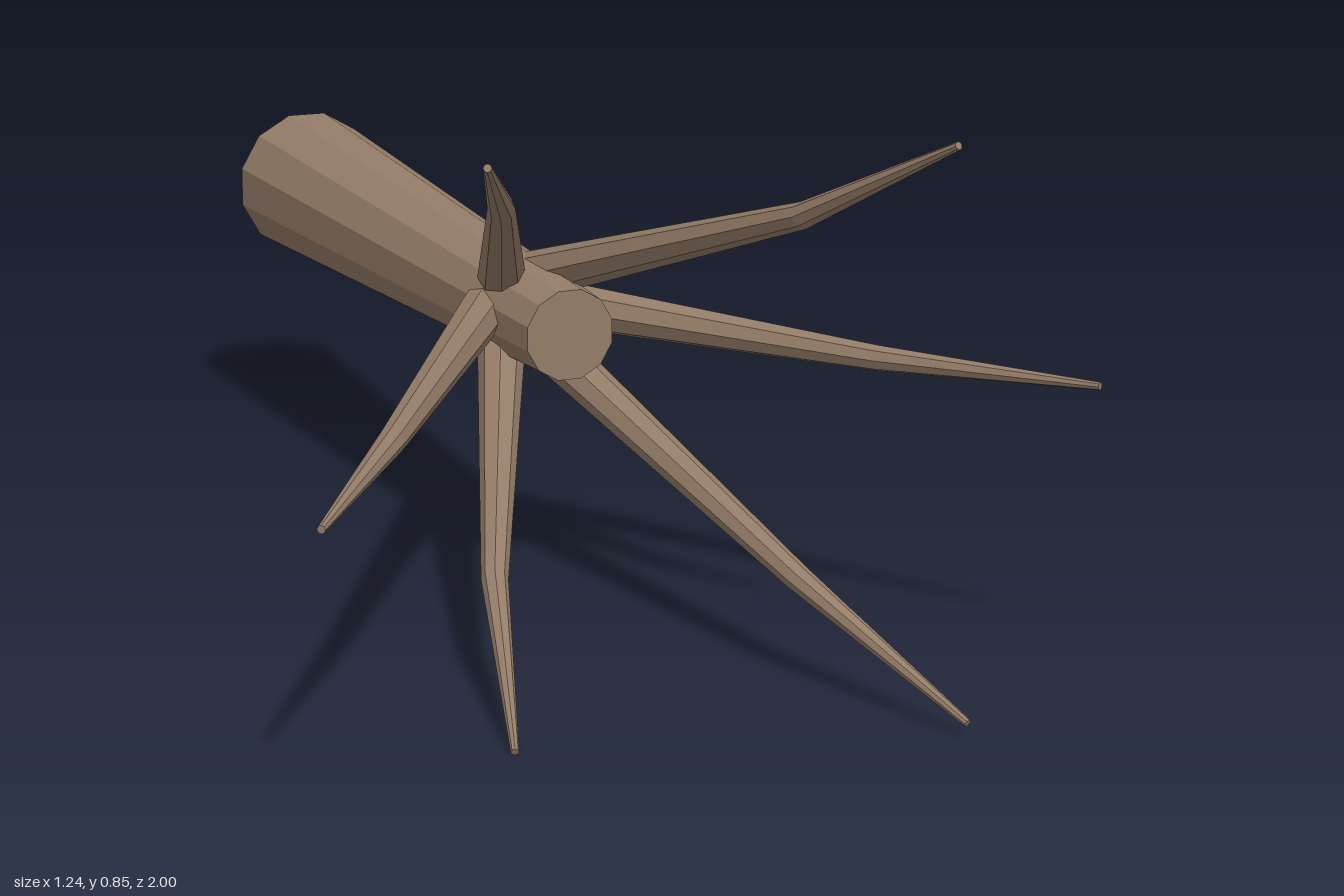
import * as THREE from 'three';

// Closed, tapered limb: one ring per path point, square to the path's direction
function limbGeometry(path, radii, sides, turn = 0) {
  const points = path.map(p => new THREE.Vector3(...p));
  const rings = points.map((p, i) => {
    const dir = points[Math.min(i + 1, points.length - 1)].clone()
      .sub(points[Math.max(i - 1, 0)]).normalize();
    const u = new THREE.Vector3(0, 1, 0).cross(dir).normalize();
    const v = dir.clone().cross(u);
    return Array.from({ length: sides }, (_, k) => {
      const a = (k + turn) / sides * Math.PI * 2;
      return p.clone().addScaledVector(u, Math.cos(a) * radii[i])
        .addScaledVector(v, Math.sin(a) * radii[i]);
    });
  });
  const corners = [];
  const last = rings.length - 1;
  for (let k = 0; k < sides; k++) {
    const n = (k + 1) % sides;
    for (let i = 0; i < last; i++) {
      const a = rings[i][k], b = rings[i][n], c = rings[i + 1][n], d = rings[i + 1][k];
      corners.push(a, b, c, a, c, d);
    }
    corners.push(points[0], rings[0][n], rings[0][k]);
    corners.push(points[last], rings[last][k], rings[last][n]);
  }
  const geometry = new THREE.BufferGeometry().setFromPoints(corners);
  geometry.computeVertexNormals();
  return geometry;
}

export function createModel() {
  const group = new THREE.Group();
  group.name = 'branchedTrunk';
  const bark = new THREE.MeshStandardMaterial({ color: 0x947c68, flatShading: true });
  bark.name = 'bark';

  const add = (name, geometry) => {
    const mesh = new THREE.Mesh(geometry, bark);
    mesh.name = name;
    group.add(mesh);
  };

  // Trunk lying along z, wide end at the back
  add('trunk', limbGeometry([[0, 0.43, -0.997], [0.03, 0.43, 0.24]], [0.131, 0.073], 12, 0.5));

  // Branches fanning forward: bend point and tip of each
  const branches = [
    ['leftBranch', [0.41, 0.43, 0.53], [0.612, 0.445, 0.837]],
    ['upperLeftBranch', [0.2, 0.70, 0.70], [0.285, 0.85, 0.997]],
    ['upperRightBranch', [-0.2, 0.71, 0.55], [-0.328, 0.833, 0.837]],
    ['rightBranch', [-0.41, 0.425, 0.68], [-0.615, 0.413, 0.997]],
    ['lowerRightBranch', [-0.21, 0.16, 0.55], [-0.288, 0.008, 0.837]],
    ['lowerLeftBranch', [0.205, 0.16, 0.70], [0.328, 0.025, 0.997]],
  ];
  branches.forEach(([name, bend, tip], i) => {
    const a = i * Math.PI / 3;
    const base = [0.025 + Math.cos(a) * 0.052, 0.43 + Math.sin(a) * 0.052, 0.025];
    add(name, limbGeometry([base, bend, tip], [0.039, 0.02, 0.006], 8));
  });
  return group;
}
